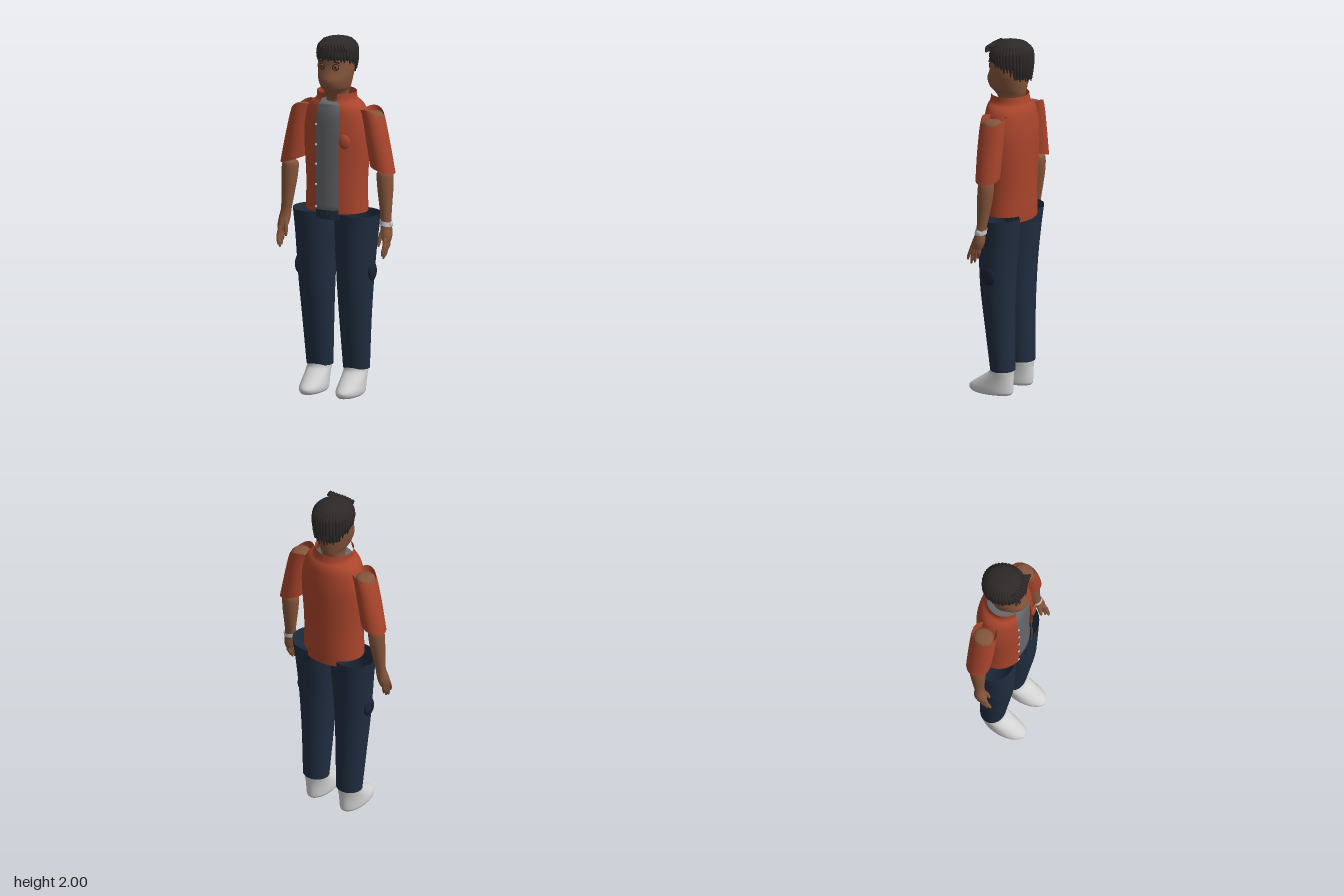
import * as THREE from 'three';

const mat = (name, color) => new THREE.MeshStandardMaterial({ name, color, side: THREE.DoubleSide });

// Ring: [y, centre x, centre z, radius x, radius z, front gap, side tilt, front/back lift]
// Rings are joined by a spline; the angle runs from +z towards +x.
function loft(rings, { seg = 32, steps = 4, capStart = false, capEnd = false, arc = null } = {}) {
  const full = rings.map(r => Array.from({ length: 8 }, (_, i) => r[i] ?? 0));
  const rows = [];
  for (let i = 0; i < full.length - 1; i++) {
    const [a, b, c, d] = [-1, 0, 1, 2].map(k => full[Math.min(full.length - 1, Math.max(0, i + k))]);
    for (let s = 0; s < steps; s++) {
      const t = s / steps;
      rows.push(b.map((v, k) => v + 0.5 * t * (c[k] - a[k] + t * (2 * a[k] - 5 * v + 4 * c[k] - d[k]
        + t * (3 * (v - c[k]) + d[k] - a[k])))));
    }
  }
  rows.push(full[full.length - 1]);
  const shrink = r => r.map((v, k) => (k > 2 ? 0 : v));
  if (capStart) rows.unshift(shrink(rows[0]));
  if (capEnd) rows.push(shrink(rows[rows.length - 1]));

  const open = arc !== null || full.some(r => r[5] > 0);
  const cols = open ? seg + 1 : seg;
  const pos = [], index = [];
  for (const [y, cx, cz, rx, rz, gap, tilt, lift] of rows) {
    const g = gap > 0 ? Math.asin(Math.min(1, gap / rx)) : 0;
    const [a0, a1] = arc ?? [g, Math.PI * 2 - g];
    for (let j = 0; j < cols; j++) {
      const a = a0 + (a1 - a0) * j / seg, s = Math.sin(a), c = Math.cos(a);
      pos.push(cx + rx * s, y + tilt * s + lift * c * c, cz + rz * c);
    }
  }
  const up = rows[rows.length - 1][0] > rows[0][0];
  for (let i = 0; i < rows.length - 1; i++) {
    for (let j = 0; j < seg; j++) {
      const a = i * cols + j, b = i * cols + (j + 1) % cols, c = a + cols, d = b + cols;
      if (up) index.push(a, b, d, a, d, c);
      else index.push(a, d, b, a, c, d);
    }
  }
  const geo = new THREE.BufferGeometry();
  geo.setAttribute('position', new THREE.Float32BufferAttribute(pos, 3));
  geo.setIndex(index);
  geo.computeVertexNormals();
  return geo;
}

const mirror = (rings, s) => rings.map(r => r.map((v, k) => (k === 1 || k === 6 ? v * s : v)));

export function createModel() {
  const model = new THREE.Group();
  const skin = mat('skin', 0x85553b), hair = mat('hair', 0x2e2929), dark = mat('dark brown', 0x3a2519);
  const red = mat('jacket red', 0xaa452c), grey = mat('shirt grey', 0x66676b);
  const navy = mat('trouser navy', 0x202d40), deep = mat('dark navy', 0x182232);
  const white = mat('shoe white', 0xd2d2d2), metal = mat('silver', 0xc4c4c8);

  const add = (name, geo, material, parent = model) => {
    const m = new THREE.Mesh(geo, material);
    m.name = name;
    parent.add(m);
    return m;
  };
  const blob = (name, material, p, s) => {
    const m = add(name, new THREE.SphereGeometry(1, 24, 16), material);
    m.position.set(...p);
    m.scale.set(...s);
    return m;
  };

  // Head and neck
  add('head', loft([
    [1.58, 0, -0.03, 0.058, 0.062], [1.66, 0, -0.03, 0.06, 0.068], [1.70, 0, -0.025, 0.064, 0.09],
    [1.73, 0, -0.012, 0.078, 0.109], [1.775, 0, -0.008, 0.091, 0.118], [1.82, 0, -0.015, 0.1, 0.11],
    [1.86, 0, -0.016, 0.102, 0.102], [1.91, 0, -0.02, 0.1, 0.105], [1.96, 0, -0.025, 0.08, 0.085],
  ], { capEnd: true }), skin);
  for (const s of [-1, 1]) {
    const lid = add('eyeRim', new THREE.TorusGeometry(0.017, 0.003, 8, 24), dark);
    lid.position.set(s * 0.041, 1.853, 0.08);
    lid.rotation.y = s * 0.35;
    blob('eye', skin, [s * 0.041, 1.853, 0.074], [0.016, 0.014, 0.011]);
    blob('iris', dark, [s * 0.041, 1.853, 0.083], [0.007, 0.008, 0.004]);
    const brow = add('eyebrow', new THREE.BoxGeometry(0.034, 0.007, 0.008), hair);
    brow.position.set(s * 0.047, 1.882, 0.08);
    brow.rotation.set(0, s * 0.4, s * -0.25);
  }

  // Hair cap and hanging locks
  add('hairCap', loft([
    [1.90, 0, -0.03, 0.103, 0.113], [1.93, 0, -0.032, 0.105, 0.117], [1.96, 0, -0.032, 0.098, 0.108],
    [1.985, 0, -0.032, 0.076, 0.084], [1.997, 0, -0.032, 0.04, 0.045], [2.0, 0, -0.032, 0.01, 0.01],
  ], { capEnd: true }), hair);
  add('backHair', loft([
    [1.80, 0, -0.032, 0.098, 0.108], [1.86, 0, -0.032, 0.104, 0.115], [1.93, 0, -0.032, 0.105, 0.117],
  ], { arc: [Math.PI * 0.68, Math.PI * 1.32] }), hair);
  const locks = 38;
  for (let i = 0; i < locks; i++) {
    const a = (i / locks) * Math.PI * 2, back = (1 - Math.cos(a)) / 2;
    const end = 1.878 - 0.095 * Math.pow(back, 1.6) + 0.008 * Math.sin(i * 2.4);
    const at = (y, k, r) => [y, Math.sin(a) * 0.103 * k, -0.033 + Math.cos(a) * 0.114 * k, r, r];
    add('hairLock', loft([
      at(1.985, 0.72, 0.007), at(1.955, 0.94, 0.012), at(1.92, 1.01, 0.012),
      at((1.92 + end) / 2, 1.01, 0.011), at(end, 0.99, 0.003),
    ], { seg: 8, steps: 3, capStart: true, capEnd: true }), hair);
  }
  for (let i = 0; i < 9; i++) {
    const x = -0.06 + i * 0.019;
    const curve = new THREE.QuadraticBezierCurve3(
      new THREE.Vector3(x * 0.8, 1.97, 0.04), new THREE.Vector3(x, 1.985, 0.085),
      new THREE.Vector3(x + 0.012, 1.945, 0.088 - Math.abs(x) * 0.25));
    add('fringeTuft', new THREE.TubeGeometry(curve, 10, 0.009, 8), hair);
  }

  // Shirt under the jacket
  add('shirt', loft([
    [1.03, 0, -0.026, 0.168, 0.122], [1.25, 0, -0.028, 0.165, 0.122], [1.45, 0, -0.03, 0.177, 0.125],
    [1.57, 0, -0.028, 0.162, 0.12], [1.625, 0, -0.027, 0.128, 0.108], [1.642, 0, -0.027, 0.09, 0.1],
    [1.648, 0, -0.03, 0.06, 0.068],
  ], { capStart: true }), grey);

  // Open jacket with standing collar
  add('jacket', loft([
    [1.03, 0, -0.025, 0.18, 0.135, 0.068], [1.2, 0, -0.027, 0.176, 0.137, 0.068],
    [1.42, 0, -0.03, 0.19, 0.141, 0.07], [1.52, 0, -0.031, 0.187, 0.138, 0.07],
    [1.6, 0, -0.029, 0.168, 0.131, 0.068], [1.635, 0, -0.027, 0.145, 0.122, 0.062],
    [1.66, 0, -0.025, 0.114, 0.11, 0.05], [1.7, 0, -0.024, 0.11, 0.102, 0.045],
  ], { seg: 56 }), red);
  add('backHem', loft([[0.995, 0, -0.026, 0.18, 0.134], [1.06, 0, -0.026, 0.182, 0.137]],
    { arc: [Math.PI - 0.6, Math.PI + 0.6], steps: 1 }), red);
  blob('chestBadge', red, [0.1, 1.44, 0.093], [0.031, 0.041, 0.014]).rotation.y = 0.3;
  for (const y of [1.06, 1.185, 1.3, 1.41, 1.525]) blob('button', metal, [-0.069, y, 0.1], [0.007, 0.007, 0.005]);

  // Waistband and its fastener
  add('waistband', loft([[0.992, 0, -0.03, 0.17, 0.132], [1.045, 0, -0.03, 0.17, 0.132]],
    { arc: [-0.44, 0.44], steps: 1 }), navy);
  const ring = add('waistFastener', new THREE.TorusGeometry(0.014, 0.004, 8, 24), deep);
  ring.position.set(0, 1.022, 0.106);
  ring.scale.y = 0.75;
  blob('waistButton', navy, [0, 1.022, 0.104], [0.013, 0.01, 0.007]);

  for (const s of [-1, 1]) {
    // Trouser leg, side pocket and shoe
    add('trouserLeg', loft(mirror([
      [1.022, 0.126, -0.026, 0.132, 0.119], [0.9, 0.12, -0.02, 0.122, 0.113], [0.75, 0.118, -0.015, 0.111, 0.104],
      [0.6, 0.116, -0.014, 0.101, 0.097], [0.4, 0.113, -0.023, 0.089, 0.083], [0.14, 0.111, -0.04, 0.075, 0.068],
    ], s)), navy);
    blob('sidePocket', deep, [s * 0.222, 0.7, -0.01], [0.018, 0.053, 0.043]);
    add('shoe', loft(mirror([
      [0, 0.111, 0.03, 0.058, 0.12], [0.012, 0.111, 0.032, 0.066, 0.131], [0.035, 0.111, 0.031, 0.069, 0.132],
      [0.07, 0.111, 0.008, 0.068, 0.109], [0.105, 0.111, -0.018, 0.068, 0.083],
      [0.13, 0.111, -0.034, 0.069, 0.069], [0.157, 0.111, -0.039, 0.072, 0.067],
    ], s), { capStart: true, capEnd: true }), white);

    // Short sleeve, open at shoulder and hem
    add('sleeve', loft(mirror([
      [1.585, 0.207, -0.037, 0.066, 0.07, 0, -0.016, 0.03], [1.54, 0.222, -0.036, 0.064, 0.073, 0, -0.018, 0.02],
      [1.42, 0.247, -0.035, 0.067, 0.073, 0, -0.02], [1.28, 0.272, -0.036, 0.071, 0.068, 0, -0.022],
    ], s)), red);

    // Upper arm, forearm and palm
    add('upperArm', loft(mirror([
      [1.6, 0.213, -0.037, 0.02, 0.025], [1.59, 0.215, -0.037, 0.045, 0.05], [1.56, 0.222, -0.037, 0.053, 0.059],
      [1.42, 0.248, -0.036, 0.053, 0.056], [1.31, 0.268, -0.035, 0.048, 0.05], [1.285, 0.272, -0.035, 0.025, 0.028],
    ], s), { capStart: true, capEnd: true }), skin);
    add('forearm', loft(mirror([
      [1.272, 0.286, -0.034, 0.025, 0.024], [1.255, 0.287, -0.034, 0.046, 0.042], [1.18, 0.291, -0.03, 0.045, 0.044],
      [1.08, 0.297, -0.022, 0.036, 0.035], [1.0, 0.303, -0.014, 0.03, 0.027], [0.96, 0.308, -0.008, 0.032, 0.03],
      [0.92, 0.314, 0, 0.03, 0.037], [0.885, 0.318, 0.008, 0.021, 0.034],
    ], s), { capStart: true, capEnd: true }), skin);

    // Fingers fan out along z; the thumb sits inward
    for (let f = 0; f < 4; f++) {
      const z0 = -0.014 + f * 0.015, z1 = -0.002 + f * 0.021, tip = 0.825 - [0, 0.025, 0.033, 0.015][f];
      add('finger', loft(mirror([
        [0.91, 0.317, z0, 0.011, 0.01], [0.865, 0.321, (z0 + z1) / 2, 0.011, 0.01],
        [tip + 0.02, 0.317, z1, 0.009, 0.008], [tip, 0.314, z1 + 0.004, 0.004, 0.004],
      ], s), { seg: 10, capStart: true, capEnd: true }), skin);
    }
    add('thumb', loft(mirror([
      [0.96, 0.3, 0.006, 0.014, 0.014], [0.91, 0.287, 0.024, 0.012, 0.012],
      [0.87, 0.282, 0.035, 0.009, 0.009], [0.855, 0.281, 0.038, 0.004, 0.004],
    ], s), { seg: 10, capStart: true, capEnd: true }), skin);
  }

  // Watch on the left wrist
  add('watchBand', loft([[0.97, 0.306, -0.01, 0.036, 0.034, 0, -0.005], [0.995, 0.303, -0.013, 0.035, 0.032, 0, -0.005]],
    { steps: 1 }), metal);
  blob('watchFace', metal, [0.337, 0.978, -0.01], [0.008, 0.017, 0.017]);

  return model;
}
